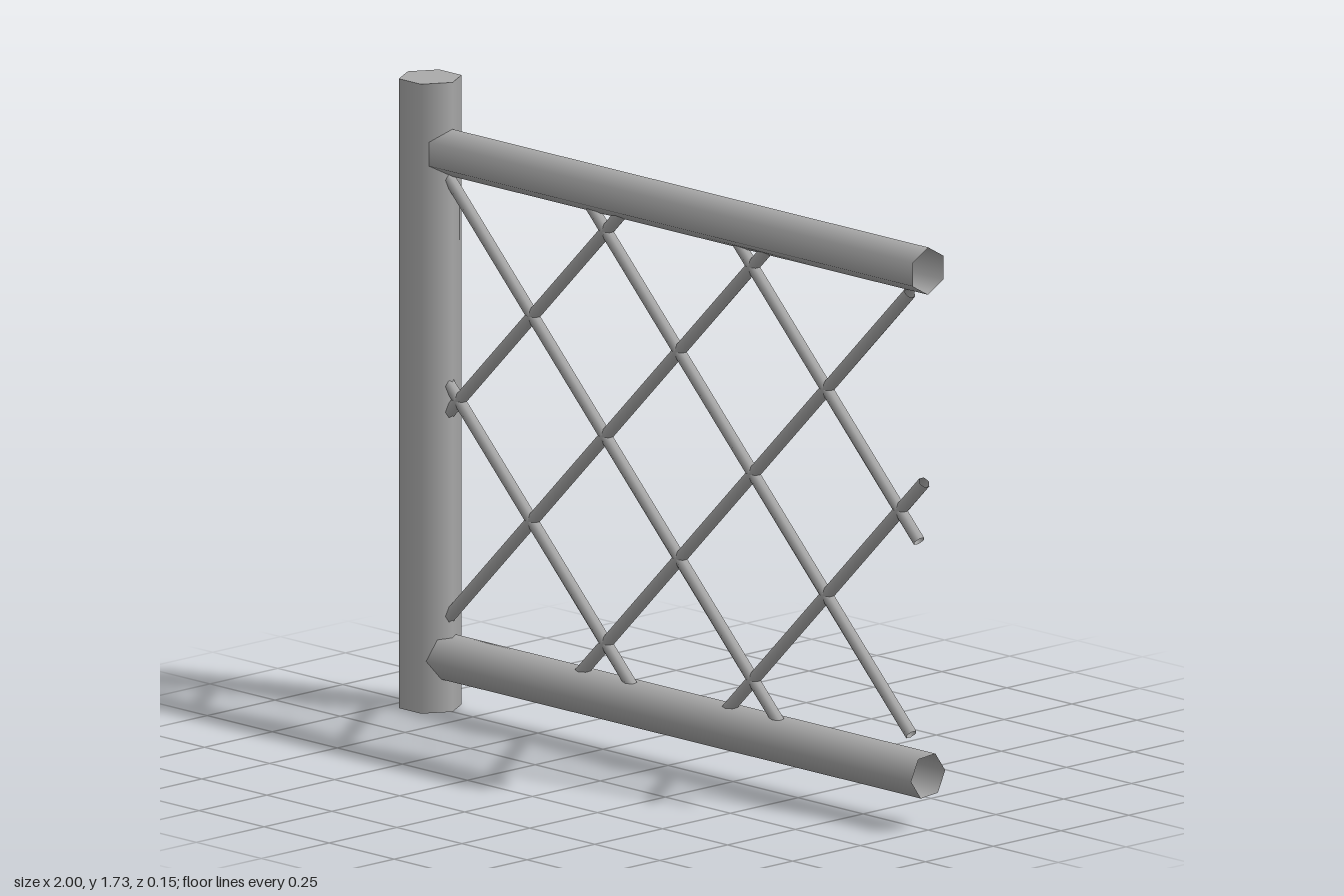
import * as THREE from 'three';

const UP = new THREE.Vector3(0, 1, 0);

export function createModel() {
  const model = new THREE.Group();
  const metal = new THREE.MeshStandardMaterial({ color: 0xaaaaaa, side: THREE.DoubleSide });
  metal.name = 'grey metal';

  // Open hexagonal tube between two points of the z = 0 plane
  function tube(name, [x1, y1], [x2, y2], radius, spin = 0) {
    const a = new THREE.Vector3(x1, y1, 0);
    const b = new THREE.Vector3(x2, y2, 0);
    const geometry = new THREE.CylinderGeometry(radius, radius, a.distanceTo(b), 6, 1, true);
    geometry.rotateY(THREE.MathUtils.degToRad(spin));
    const mesh = new THREE.Mesh(geometry, metal);
    mesh.name = name;
    mesh.position.copy(a).add(b).multiplyScalar(0.5);
    mesh.quaternion.setFromUnitVectors(UP, b.sub(a).normalize());
    model.add(mesh);
  }

  // Post with a closed top
  tube('post', [-0.914, 0], [-0.914, 1.725], 0.086, 30);
  const cap = new THREE.Mesh(new THREE.CircleGeometry(0.086, 6).rotateX(-Math.PI / 2), metal);
  cap.name = 'postCap';
  cap.position.set(-0.914, 1.725, 0);
  model.add(cap);

  // Rails, hollow at the free end
  tube('topRail', [-0.9, 1.532], [1, 1.532], 0.065, 30);
  tube('bottomRail', [-0.9, 0.148], [1, 0.148], 0.063, 5);

  // Lattice rods, falling and rising at 45 degrees
  const rods = {
    fallingRod: [
      [-0.85, 0.905, -0.1, 0.155],
      [-0.85, 1.47, 0.465, 0.155],
      [-0.305, 1.49, 0.935, 0.25],
      [0.26, 1.49, 0.965, 0.785],
    ],
    risingRod: [
      [-0.85, 0.81, -0.17, 1.49],
      [-0.85, 0.25, 0.39, 1.49],
      [-0.375, 0.155, 0.93, 1.46],
      [0.19, 0.155, 0.985, 0.95],
    ],
  };
  for (const [name, list] of Object.entries(rods)) {
    list.forEach(([x1, y1, x2, y2], i) => tube(name + (i + 1), [x1, y1], [x2, y2], 0.017));
  }

  return model;
}
